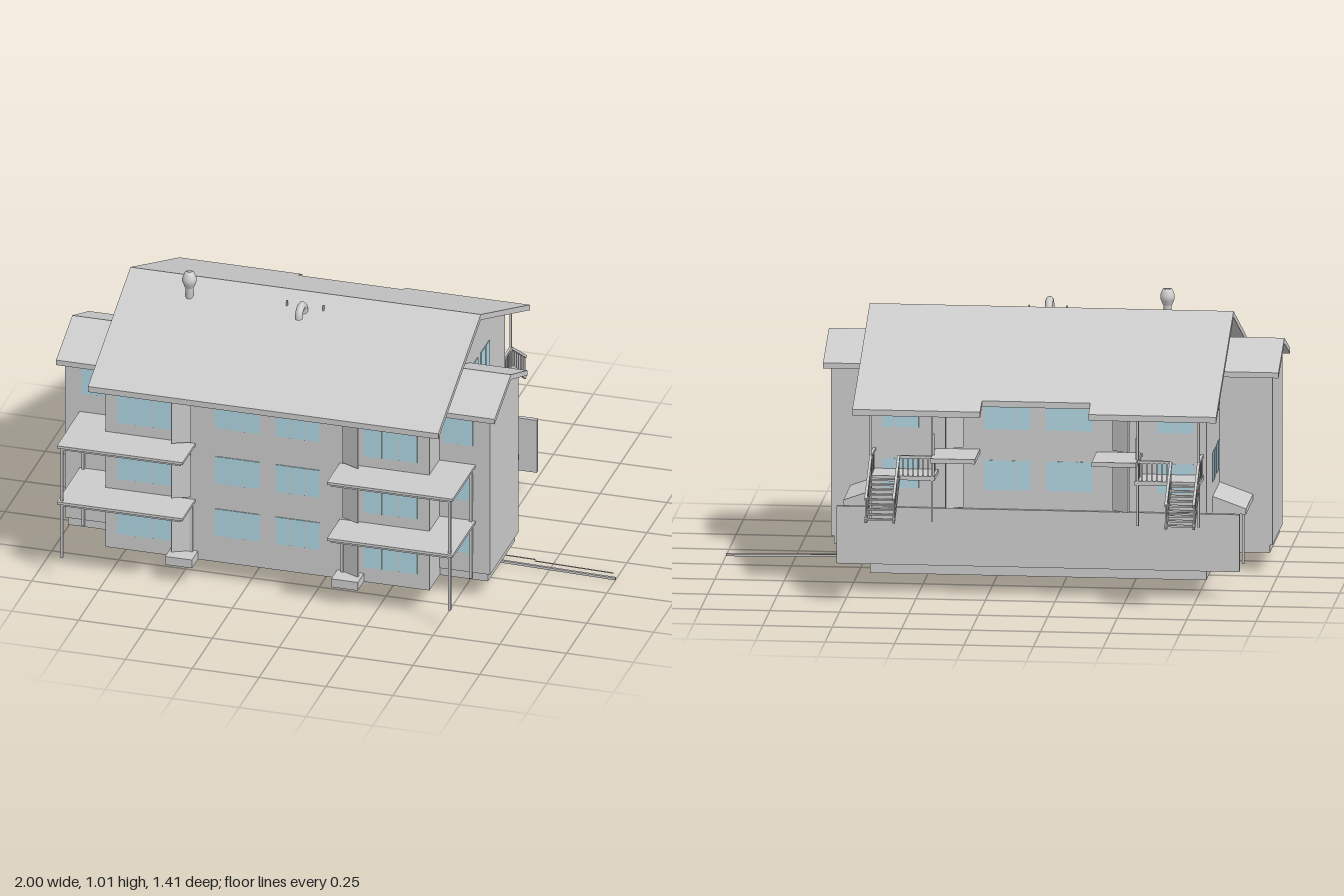
import * as THREE from 'three';

const CX = -0.18; // symmetry plane of the house
const grey = new THREE.MeshStandardMaterial({ color: 0xcccccc, flatShading: true });
const smooth = new THREE.MeshStandardMaterial({ color: 0xcccccc });
const glass = new THREE.MeshStandardMaterial({ color: 0xafd6e2 });

export function createModel() {
  const root = new THREE.Group();
  root.name = 'house';

  const add = (name, geo, mat = grey) => {
    const m = new THREE.Mesh(geo, mat);
    m.name = name;
    root.add(m);
    return m;
  };
  // box from its bounds
  const box = (name, x0, x1, y0, y1, z0, z1, mat) =>
    add(name, new THREE.BoxGeometry(Math.abs(x1 - x0), y1 - y0, Math.abs(z1 - z0)), mat)
      .position.set((x0 + x1) / 2, (y0 + y1) / 2, (z0 + z1) / 2);
  // straight bar between two points
  const bar = (name, a, b, w = 0.008, h = w) => {
    const p = new THREE.Vector3(...a), q = new THREE.Vector3(...b);
    const m = add(name, new THREE.BoxGeometry(w, h, p.distanceTo(q)));
    m.position.copy(p).add(q).multiplyScalar(0.5);
    m.lookAt(q);
  };
  // (z, y) profile extruded along x
  const prism = (name, pts, x0, x1) => {
    const s = new THREE.Shape(pts.map(p => new THREE.Vector2(...p)));
    const g = new THREE.ExtrudeGeometry(s, { depth: Math.abs(x1 - x0), bevelEnabled: false });
    g.rotateY(-Math.PI / 2).translate(Math.max(x0, x1), 0, 0);
    add(name, g);
  };
  // window on a wall facing z (dir = +1 / -1)
  const windowZ = (x0, x1, y0, y1, z, dir) => {
    box('windowPane', x0, x1, y0, y1, z - 0.002, z + dir * 0.003, glass);
    const n = Math.abs(x1 - x0) > 0.13 ? 3 : 2;
    for (let i = 1; i < n; i++) {
      const x = x0 + (x1 - x0) * i / n;
      box('windowBar', x - 0.0015, x + 0.0015, y0, y1, z, z + dir * 0.005);
    }
  };
  // window on a wall facing x
  const windowX = (z0, z1, y0, y1, x, dir) => {
    box('windowPane', x - 0.002, x + dir * 0.003, y0, y1, z0, z1, glass);
    const z = (z0 + z1) / 2;
    box('windowBar', x, x + dir * 0.005, y0, y1, z - 0.0015, z + 0.0015);
  };
  // bent roof slab with equal pitch on both sides
  const roof = (name, zf, zb, ridgeZ, ridgeY, k, t, x0, x1) => {
    const yf = ridgeY - k * (zf - ridgeZ), yb = ridgeY - k * (ridgeZ - zb);
    prism(name, [[zf, yf], [ridgeZ, ridgeY], [zb, yb], [zb, yb - t], [ridgeZ, ridgeY - t], [zf, yf - t]], x0, x1);
  };

  // main body and roof, with the rear eave set back in the middle
  prism('mainWalls', [[0.545, 0.07], [0.545, 0.735], [0.07, 0.935], [-0.4, 0.738], [-0.4, 0.07]], CX - 0.605, CX + 0.605);
  roof('mainRoof', 0.6, -0.475, 0.07, 0.955, 0.42, 0.022, CX - 0.655, CX + 0.655);
  for (const s of [-1, 1]) {
    const y = 0.955 - 0.42 * 0.545, y2 = 0.955 - 0.42 * 0.61;
    prism('rearEave', [[-0.475, y], [-0.54, y2], [-0.54, y2 - 0.022], [-0.475, y - 0.022]], CX + s * 0.195, CX + s * 0.655);
  }

  // low retaining wall along the back
  box('rearWall', CX - 0.725, CX + 0.725, 0.105, 0.315, -0.395, -0.412);

  const floors = [0.105, 0.32, 0.54];
  for (const s of [-1, 1]) {
    const X = u => CX + s * u;

    // side wing
    box('wingBase', X(0.6), X(0.785), 0.07, 0.105, 0.075, 0.415);
    prism('wingWalls', [[0.42, 0.1], [0.42, 0.74], [0.245, 0.81], [0.07, 0.74], [0.07, 0.1]], X(0.6), X(0.795));
    roof('wingRoof', 0.448, 0.038, 0.245, 0.822, 0.4, 0.02, X(0.6), X(0.82));

    // windows
    floors.forEach((f, i) => {
      const w = [0.13, 0.35, 0.575][i], m = [0.175, 0.385, 0.607][i];
      windowZ(X(0.36), X(0.56), w, w + 0.145, 0.545, 1);
      windowZ(X(0.62), X(0.73), m, m + 0.108, 0.42, 1);
      windowZ(X(0.03), X(0.195), m, m + 0.108, 0.545, 1);
      if (i > 0) {
        windowZ(X(0.03), X(0.195), m, m + 0.108, -0.4, -1);
        windowZ(X(0.43), X(0.56), m, m + 0.108, -0.4, -1);
        windowX(0.05, -0.055, m, m + 0.108, X(0.605), s);
        windowX(-0.095, -0.2, m, m + 0.108, X(0.605), s);
      }
      // open doors to the balconies and at the back
      const y = f + 0.085;
      bar('frontDoor', [X(0.35), y, 0.58], [X(0.285), y, 0.55], 0.008, 0.17);
      if (i > 0) bar('rearDoor', [X(0.33), y, -0.442], [X(0.27), y, -0.405], 0.008, 0.17);
    });
    windowX(0.05, -0.035, 0.17, 0.26, X(0.605), s);
    windowX(-0.2, -0.355, 0.17, 0.275, X(0.605), s);

    // front balconies wrapping the corner, with posts and a doorstep
    for (const y of [0.288, 0.513]) {
      box('balconySlab', X(0.28), X(0.73), y, y + 0.012, 0.425, 0.695);
      box('balconyTop', X(0.27), X(0.74), y + 0.01, y + 0.02, 0.42, 0.705);
    }
    box('balconyPost', X(0.72), X(0.73), 0.08, 0.515, 0.685, 0.695);
    box('balconyPost', X(0.72), X(0.73), 0.08, 0.515, 0.421, 0.431);
    box('balconyPost', X(0.277), X(0.287), 0.08, 0.29, 0.548, 0.558);
    box('doorstep', X(0.26), X(0.36), 0.07, 0.103, 0.54, 0.62);

    // side porch: sloped canopy, post and open door
    const c = new THREE.Shape([[0.6, 0.265], [0.725, 0.265], [0.725, 0.285], [0.6, 0.33]]
      .map(([u, y]) => new THREE.Vector2(X(u), y)));
    add('porchRoof', new THREE.ExtrudeGeometry(c, { depth: 0.245, bevelEnabled: false })).position.z = -0.175;
    box('porchPost', X(0.71), X(0.718), 0.08, 0.266, -0.164, -0.156);
    bar('sideDoor', [X(0.608), 0.185, -0.08], [X(0.645), 0.185, -0.145], 0.008, 0.15);

    // rear landing with railing and roof posts
    box('landing', X(0.36), X(0.595), 0.44, 0.455, -0.4, -0.525);
    for (const u of [0.37, 0.59]) {
      box('landingPost', X(u - 0.004), X(u + 0.004), 0.29, 0.7, -0.517, -0.525);
      bar('landingRail', [X(u), 0.525, -0.4], [X(u), 0.525, -0.52], 0.01);
      for (let i = 0; i < 7; i++) {
        const z = -0.415 - i * 0.015;
        box('baluster', X(u - 0.002), X(u + 0.002), 0.45, 0.525, z - 0.002, z + 0.002);
      }
    }
    bar('landingRail', [X(0.37), 0.525, -0.52], [X(0.485), 0.525, -0.52], 0.01);
    for (let i = 0; i < 6; i++) {
      const u = 0.385 + i * 0.018;
      box('baluster', X(u - 0.002), X(u + 0.002), 0.45, 0.525, -0.518, -0.522);
    }

    // rear platform beside the landing
    box('rearPlatform', X(0.21), X(0.37), 0.515, 0.532, -0.4, -0.575);
    box('platformPost', X(0.362), X(0.37), 0.45, 0.61, -0.506, -0.514);

    // rear stairs
    for (const u of [0.49, 0.59]) {
      bar('stringer', [X(u), 0.448, -0.522], [X(u), 0.325, -0.7], 0.009, 0.018);
      bar('stairRail', [X(u), 0.525, -0.522], [X(u), 0.405, -0.7], 0.01);
      for (let i = 0; i < 7; i++) {
        const z = -0.53 - i * 0.027, y = 0.442 - i * 0.0185;
        box('stairBaluster', X(u - 0.003), X(u + 0.003), y, y + 0.08, z - 0.004, z + 0.004);
      }
    }
    for (let i = 0; i < 9; i++) {
      const z = -0.525 - i * 0.02, y = 0.445 - i * 0.0138;
      box('stairTread', X(0.49), X(0.59), y - 0.006, y, z, z - 0.019);
    }
  }

  // capped flue
  const flue = [[0, 0.87], [0.014, 0.87], [0.014, 0.95], [0.017, 0.955], [0.024, 0.972], [0.026, 0.978],
    [0.026, 0.99], [0.017, 1.012], [0, 1.012]].map(p => new THREE.Vector2(...p));
  add('flue', new THREE.LatheGeometry(flue, 20), smooth).position.set(-0.588, 0, 0.158);

  // curved vent pipe
  const arch = new THREE.TorusGeometry(0.034, 0.014, 12, 20, Math.PI);
  arch.rotateY(Math.PI / 2).translate(-0.16, 0.92, 0.19);
  add('ventBend', arch, smooth);
  add('ventPipe', new THREE.CylinderGeometry(0.014, 0.014, 0.06, 12), smooth).position.set(-0.16, 0.892, 0.156);
  add('ventMouth', new THREE.CircleGeometry(0.014, 12).rotateX(Math.PI / 2), smooth).position.set(-0.16, 0.92, 0.224);
  for (const x of [-0.228, -0.092]) box('ventStay', x - 0.003, x + 0.003, 0.91, 0.945, 0.14, 0.146);

  // service pipes hung below the floor
  bar('drainPipe', [-0.22, 0.03, 0.14], [1, 0.005, 0.14], 0.009);
  bar('waterPipe', [-0.415, 0.04, 0.115], [0.69, 0.02, 0.105], 0.003);
  bar('waterPipe', [0.69, 0.02, 0.117], [0.985, 0.014, 0.117], 0.003);
  bar('waterRiser', [-0.415, 0.04, 0.115], [-0.415, 0.075, 0.115], 0.003);
  bar('waterRiser', [0.055, 0.03, 0.115], [0.055, 0.075, 0.115], 0.003);
  for (const x of [-0.22, -0.195, -0.155, -0.135]) {
    box('pipeHanger', x - 0.003, x + 0.003, 0.03, 0.075, 0.142, 0.148);
    box('pipeBranch', x - 0.003, x + 0.003, 0.026, 0.033, 0.105, 0.195);
  }
  for (const z of [0.108, 0.192]) box('pipeManifold', -0.225, -0.13, 0.024, 0.034, z - 0.004, z + 0.004);

  return root;
}
